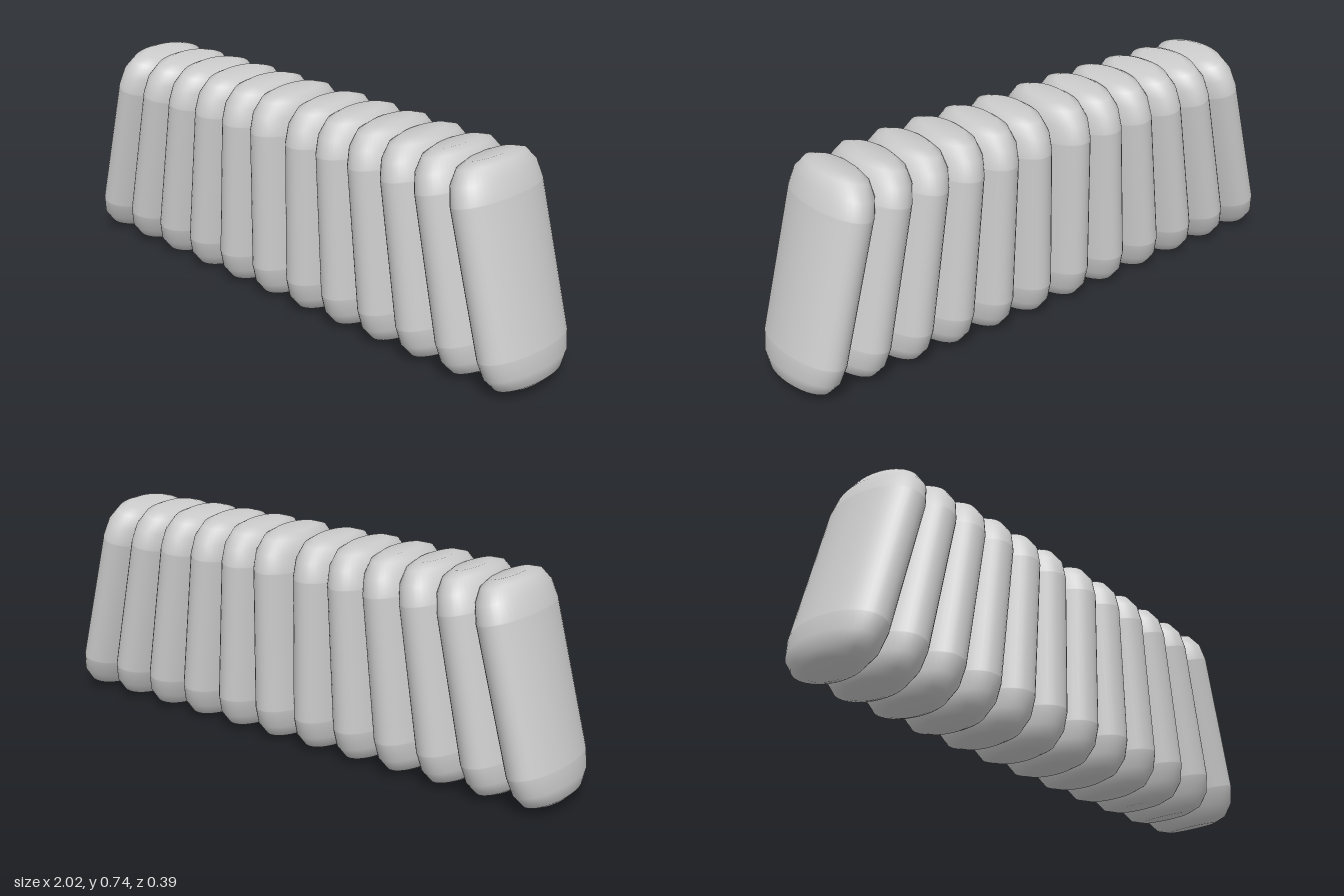
import * as THREE from 'three';

const HALF_HEIGHT = 0.3675, BEVEL_HEIGHT = 0.12, FLAT = 0.5;
const HALF_WIDTH = 0.1, HALF_DEPTH = 0.195;
const PER_SIDE = 6, INNER_X = 0.083, SPACING = 0.151, TILT_STEP = THREE.MathUtils.degToRad(3);

// Upright oval roll with three-step rounded ends and small flat caps
function rollGeometry() {
  const wall = HALF_HEIGHT - BEVEL_HEIGHT;
  const top = [new THREE.Vector2(1, wall - 0.003)];
  for (let i = 0; i <= 3; i++) {
    const a = (i / 3) * Math.PI / 2;
    top.push(new THREE.Vector2(FLAT + (1 - FLAT) * Math.cos(a), wall + BEVEL_HEIGHT * Math.sin(a)));
  }
  top.push(new THREE.Vector2(0, HALF_HEIGHT));
  const bottom = top.map(p => new THREE.Vector2(p.x, -p.y)).reverse();
  const geometry = new THREE.LatheGeometry([...bottom, ...top], 48);
  return geometry.scale(HALF_WIDTH, 1, HALF_DEPTH);
}

export function createModel() {
  const model = new THREE.Group();
  model.name = 'rollRow';
  const geometry = rollGeometry();
  const material = new THREE.MeshStandardMaterial({ color: 0xcccccc });

  // Rolls lean inward more and more towards both ends of the row
  for (const side of [-1, 1]) {
    for (let i = 0; i < PER_SIDE; i++) {
      const roll = new THREE.Mesh(geometry, material);
      roll.name = `${side > 0 ? 'left' : 'right'}Roll${i + 1}`;
      roll.position.set(side * (INNER_X + i * SPACING), HALF_HEIGHT, 0);
      roll.rotation.z = side * i * TILT_STEP;
      model.add(roll);
    }
  }
  return model;
}
